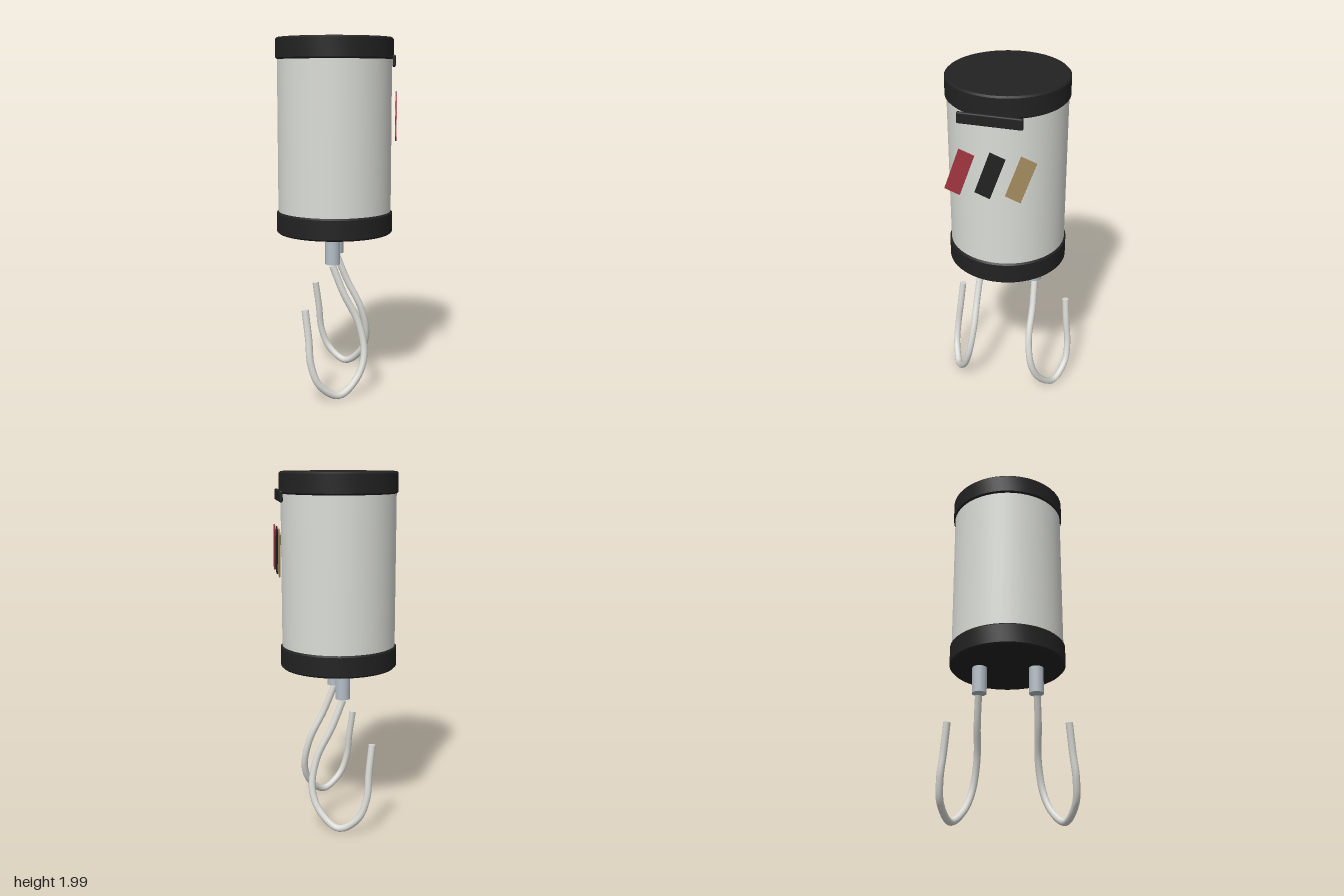
import * as THREE from 'three';
import { toCreasedNormals } from 'three/addons/utils/BufferGeometryUtils.js';
import { RoundedBoxGeometry } from 'three/addons/geometries/RoundedBoxGeometry.js';

const material = (name, color) => {
  const m = new THREE.MeshStandardMaterial({ color });
  m.name = name;
  return m;
};

export function createModel() {
  const black = material('black', 0x222222);
  const shell = material('shell grey', 0xdadcd6);
  const steel = material('ferrule steel', 0xb4bfc6);
  const wire = material('wire grey', 0xdadad6);
  const red = material('red', 0xa0353f);
  const tan = material('tan', 0xa28a5e);

  const model = new THREE.Group();
  model.name = 'hookedCanister';
  const add = (name, geometry, mat, x = 0, y = 0, z = 0, parent = model) => {
    const mesh = new THREE.Mesh(geometry, mat);
    mesh.name = name;
    mesh.position.set(x, y, z);
    parent.add(mesh);
    return mesh;
  };
  const axisX = -0.01;

  // Cylindrical body
  add('body', new THREE.CylinderGeometry(0.322, 0.322, 0.9, 48, 1, true), shell, axisX, 1.45);

  // End caps with small bevelled rims
  const cap = (name, y0, y1) => {
    const r = 0.331, b = 0.009;
    const profile = [[0, y0], [r - b, y0], [r, y0 + b], [r, y1 - b], [r - b, y1], [0, y1]];
    const lathe = new THREE.LatheGeometry(profile.map(p => new THREE.Vector2(...p)), 48);
    add(name, toCreasedNormals(lathe, 0.6), black, axisX);
  };
  cap('bottomCap', 0.902, 1.027);
  cap('topCap', 1.88, 2);

  // Catch bar under the top cap
  add('catchBar', new RoundedBoxGeometry(0.019, 0.062, 0.345, 2, 0.008), black, 0.323, 1.87, 0.002);

  // Three slanted stripes standing just off the side
  [['redStripe', red], ['blackStripe', black], ['tanStripe', tan]].forEach(([name, mat], i) => {
    const stripe = add(name, new THREE.BoxGeometry(0.007, 0.25, 0.088), mat, 0.3365, 1.57, 0.164 * (1 - i));
    stripe.rotation.x = -0.34;
  });

  // Ferrules and curved wire hooks, mirrored front to back
  const hookPoints = [
    [-0.01, 0.735, 0.165], [0.052, 0.58, 0.171], [0.14, 0.4, 0.172], [0.17, 0.23, 0.197],
    [0.133, 0.11, 0.24], [0.035, 0.027, 0.308], [-0.07, 0.1, 0.355], [-0.117, 0.22, 0.358],
    [-0.13, 0.36, 0.343], [-0.15, 0.52, 0.328],
  ];
  for (const side of [1, -1]) {
    const group = new THREE.Group();
    group.name = side > 0 ? 'frontHook' : 'backHook';
    group.position.z = 0.002;
    model.add(group);
    add('ferrule', new THREE.CylinderGeometry(0.042, 0.042, 0.165, 16), steel, axisX, 0.8275, side * 0.161, group);
    const path = new THREE.CatmullRomCurve3(hookPoints.map(([x, y, z]) => new THREE.Vector3(x, y, z * side)));
    add('hookWire', new THREE.TubeGeometry(path, 64, 0.02, 12), wire, 0, 0, 0, group);

    // Flat discs closing the wire ends
    for (const t of [0, 1]) {
      const end = add('wireEnd', new THREE.CircleGeometry(0.02, 12), wire, 0, 0, 0, group);
      const outward = path.getTangent(t).multiplyScalar(t ? 1 : -1);
      end.position.copy(path.getPoint(t));
      end.quaternion.setFromUnitVectors(new THREE.Vector3(0, 0, 1), outward);
    }
  }
  return model;
}
